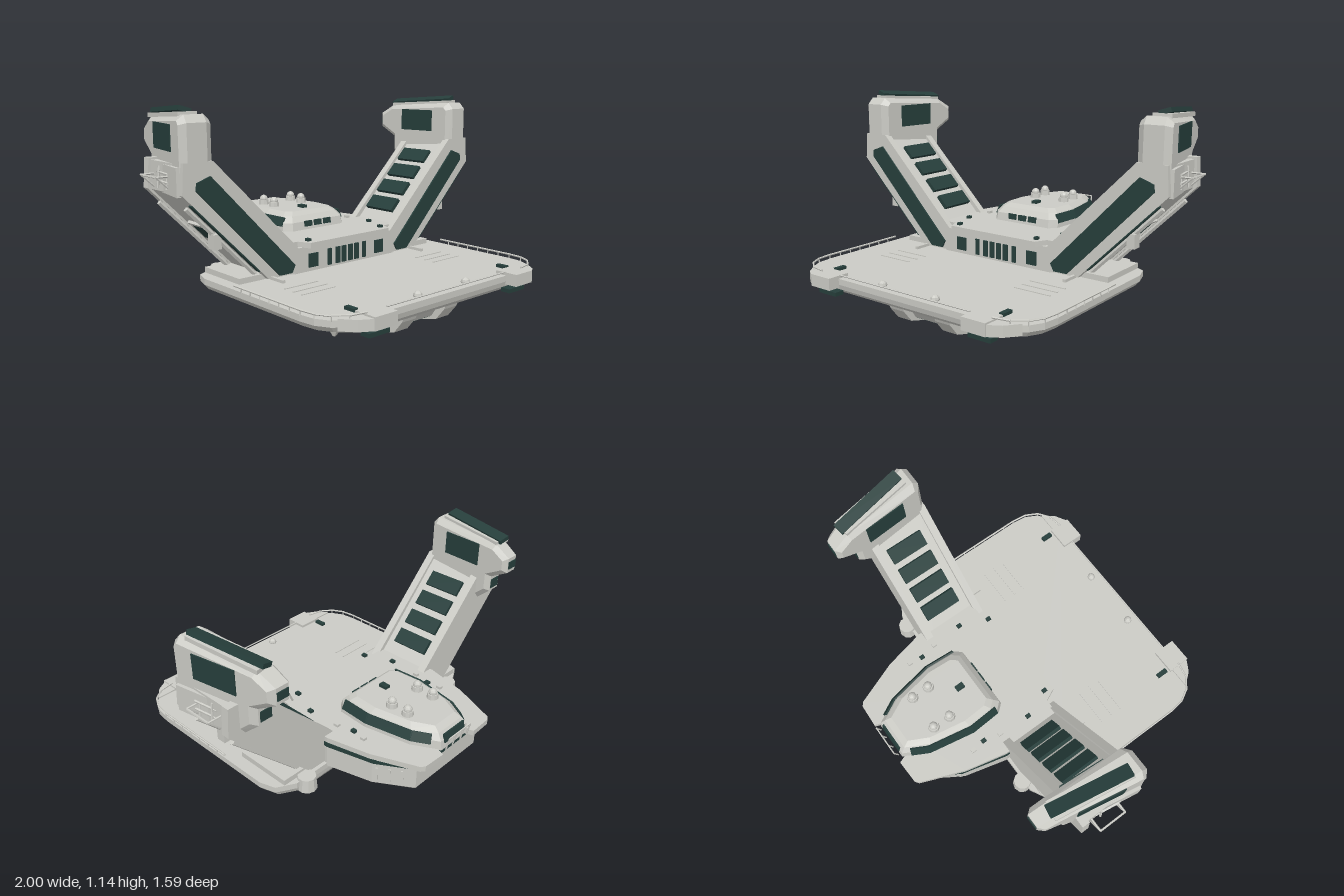
import * as THREE from 'three';

const mat = (name, color) => {
  const m = new THREE.MeshStandardMaterial({ color });
  m.name = name;
  return m;
};

export function createModel() {
  const root = new THREE.Group();
  const light = mat('pale hull grey', 0xcbcbc5);
  const dark = mat('dark teal panel', 0x263e3b);

  // ---- helpers ----
  const flat = (g) => {
    const f = g.index ? g.toNonIndexed() : g;
    f.computeVertexNormals();
    return f;
  };
  const add = (name, g, m) => {
    const mesh = new THREE.Mesh(flat(g), m);
    mesh.name = name;
    root.add(mesh);
  };
  // adds a part on +x and its mirror image on -x, with corner order repaired
  const pair = (name, g, m) => {
    const a = flat(g), b = a.clone().scale(-1, 1, 1), p = b.attributes.position;
    const u = new THREE.Vector3(), v = new THREE.Vector3();
    for (let i = 0; i < p.count; i += 3) {
      u.fromBufferAttribute(p, i + 1);
      v.fromBufferAttribute(p, i + 2);
      p.setXYZ(i + 1, v.x, v.y, v.z);
      p.setXYZ(i + 2, u.x, u.y, u.z);
    }
    add(name + 'Left', a, m);
    add(name + 'Right', b, m);
  };
  const place = (g, x, y, z, rx = 0, ry = 0, rz = 0) =>
    g.rotateZ(rz).rotateX(rx).rotateY(ry).translate(x, y, z);
  const box = (w, h, d, ...at) => place(new THREE.BoxGeometry(w, h, d), ...at);
  const rod = (a, b, r = 0.004) => {
    const A = new THREE.Vector3(...a), B = new THREE.Vector3(...b), d = B.clone().sub(A);
    const g = new THREE.CylinderGeometry(r, r, d.length(), 5);
    g.applyQuaternion(new THREE.Quaternion().setFromUnitVectors(new THREE.Vector3(0, 1, 0), d.normalize()));
    return g.translate((A.x + B.x) / 2, (A.y + B.y) / 2, (A.z + B.z) / 2);
  };
  const mirror = (half) => [...half, ...half.map(([x, z]) => [-x, z]).reverse()];
  // stacks a convex plan outline at levels [y, scaleX, scaleZ, shiftZ]
  const loft = (outline, levels) => {
    const rings = levels.map(([y, sx = 1, sz = 1, dz = 0]) => outline.map(([x, z]) => [x * sx, y, z * sz + dz]));
    const n = outline.length, v = [];
    for (let k = 0; k + 1 < rings.length; k++)
      for (let i = 0; i < n; i++) {
        const j = (i + 1) % n, a = rings[k], b = rings[k + 1];
        v.push(...a[i], ...a[j], ...b[j], ...a[i], ...b[j], ...b[i]);
      }
    const lo = rings[0], hi = rings[rings.length - 1];
    for (let i = 1; i < n - 1; i++) v.push(...hi[0], ...hi[i], ...hi[i + 1], ...lo[0], ...lo[i + 1], ...lo[i]);
    const g = new THREE.BufferGeometry();
    g.setAttribute('position', new THREE.Float32BufferAttribute(v, 3));
    return g;
  };
  const shape = (pts) => new THREE.Shape(pts.map(([x, y]) => new THREE.Vector2(x, y)));
  const extrude = (pts, depth, z) =>
    new THREE.ExtrudeGeometry(shape(pts), { depth, bevelEnabled: false }).translate(0, 0, z);
  // plan outline [x, z] raised from y0 to y1
  const slab = (outline, y0, y1) =>
    extrude(outline.map(([x, z]) => [x, -z]), y1 - y0, 0).rotateX(-Math.PI / 2).translate(0, y0, 0);
  // side profile [z, y] spanning x0 to x1
  const sideSlab = (pts, x0, x1) =>
    extrude(pts.map(([z, y]) => [-z, y]), x1 - x0, 0).rotateY(Math.PI / 2).translate(x0, 0, 0);

  // ---- landing deck ----
  const edge = [[0.53, 0.735], [0.61, 0.72], [0.67, 0.675], [0.705, 0.61], [0.715, 0.53], [0.715, -0.2], [0.69, -0.28], [0.6, -0.33]];
  const deck = mirror(edge);
  add('deck', loft(deck, [[0.215, 0.84, 0.92], [0.245, 0.86, 0.97], [0.25, 0.97, 0.99], [0.275], [0.305]]), light);
  pair('deckTab', box(0.13, 0.06, 0.12, 0.475, 0.29, 0.735), light);
  pair('tabCorner', slab([[0.54, 0.79], [0.6, 0.755], [0.65, 0.69], [0.54, 0.69]], 0.26, 0.312), light);
  pair('tabFender', box(0.12, 0.02, 0.05, 0.475, 0.228, 0.73), dark);
  for (let i = 0; i < 5; i++) {
    const [ax, az] = edge[i], [bx, bz] = edge[i + 1];
    const side = i === 4;
    pair('deckRail', rod([ax, 0.325, az], [bx, 0.325, side ? 0.05 : bz], 0.005), light);
    for (let k = 0; k < (side ? 7 : 1); k++)
      pair('railPost', rod([ax, 0.3, az - k * 0.07], [ax, 0.325, az - k * 0.07], 0.003), light);
  }
  add('frontRail', rod([-0.41, 0.322, 0.728], [0.41, 0.322, 0.728]), light);
  for (const z of [0.2, 0.265, 0.325]) pair('deckMarking', box(0.2, 0.006, 0.008, 0.44, 0.306, z), light);
  pair('deckLamp', place(new THREE.SphereGeometry(0.022, 8, 6), 0.165, 0.31, 0.68), light);
  pair('deckVent', box(0.025, 0.02, 0.06, 0.52, 0.31, 0.63), dark);
  pair('deckCleat', box(0.015, 0.02, 0.1, 0.48, 0.31, 0.07), light);
  pair('sternDrum', place(new THREE.CylinderGeometry(0.045, 0.05, 0.07, 10), 0.54, 0.285, -0.335), light);
  pair('deckUnderPanel', box(0.05, 0.006, 0.34, 0.56, 0.213, 0.12), dark);
  pair('sternUnderPanel', box(0.16, 0.006, 0.09, 0.43, 0.213, -0.2), dark);

  // ---- main hull and its roof ----
  const hull = mirror([[0.34, 0.03], [0.4, -0.03], [0.4, -0.33], [0.34, -0.56], [0.23, -0.735]]);
  add('hull', loft(hull, [[0.275, 0.96, 0.985], [0.29], [0.432]]), light);
  add('hullBand', loft(mirror([[0.404, -0.28], [0.404, -0.335], [0.345, -0.57], [0.235, -0.75]]), [[0.408], [0.431]]), dark);
  add('roof', slab(mirror([[0.27, 0.065], [0.3, 0], [0.4, 0], [0.4, -0.33], [0.35, -0.55], [0.26, -0.775],
    [0.24, -0.79], [0.12, -0.795], [0.1, -0.74]]), 0.43, 0.458), light);
  for (const [x, w, h] of [[0.022, 0.028, 0.085], [0.065, 0.028, 0.085], [0.12, 0.022, 0.085], [0.228, 0.06, 0.07]])
    pair('frontWindow', box(w, h, 0.008, x, 0.36, 0.033), dark);
  for (const z of [-0.58, -0.63, -0.68])
    pair('hullRib', box(0.012, 0.07, 0.012, 0.34 + (z + 0.56) * 0.63, 0.345, z, 0, 0.56), light);
  for (const [x, z, m] of [[0.25, 0.02, dark], [0.31, -0.13, dark], [0.3, -0.3, light], [0.29, -0.46, light], [0.28, -0.39, dark]])
    pair('roofFitting', box(0.02, 0.014, 0.025, x, 0.464, z), m);

  // ---- cabin on the roof ----
  const cabin = mirror([[0.17, -0.2], [0.205, -0.24], [0.215, -0.4], [0.17, -0.64], [0.1, -0.77]]);
  add('cabin', loft(cabin, [[0.455], [0.5, 0.98, 0.97, -0.015], [0.53, 0.87, 0.88, -0.06], [0.55, 0.74, 0.78, -0.105]]), light);
  for (const [i, j, reach] of [[1, 2, 1], [2, 3, 1], [3, 4, 0.65]]) {
    const [ax, az] = cabin[i];
    const bx = ax + (cabin[j][0] - ax) * reach, bz = az + (cabin[j][1] - az) * reach;
    const len = Math.hypot(bx - ax, bz - az);
    pair('cabinWindow', box(0.009, 0.05, len, (ax + bx) / 2 * 0.96, 0.505, (az + bz) / 2 * 0.97 - 0.018,
      0, Math.atan2(ax - bx, az - bz), 0.45), dark);
  }
  for (const x of [-0.065, 0, 0.065]) add('cabinFrontSlit', box(0.05, 0.03, 0.008, x, 0.488, -0.204, -0.1), dark);
  add('cabinRearWindow', box(0.15, 0.045, 0.009, 0, 0.505, -0.762, 0.2), dark);
  for (const z of [-0.56, -0.465]) {
    pair('domeBase', place(new THREE.CylinderGeometry(0.027, 0.03, 0.03, 10), 0.095, 0.56, z), light);
    pair('dome', place(new THREE.SphereGeometry(0.022, 10, 8), 0.095, 0.58, z), light);
  }
  add('roofHatch', box(0.03, 0.02, 0.045, 0, 0.555, -0.335), dark);
  add('sternRail', rod([-0.08, 0.525, -0.795], [0.08, 0.525, -0.795]), light);
  for (const x of [0.03, 0.08]) pair('sternRailPost', rod([x, 0.455, -0.78], [x, 0.525, -0.795]), light);

  // ---- sloping arms ----
  const arm = [[0.3, 0.415], [0.3, 0.31], [0.5, 0.31], [0.95, 0.76], [0.94, 0.9], [0.79, 0.9], [0.75, 0.86]];
  pair('armCore', extrude([[0.32, 0.4], [0.32, 0.31], [0.485, 0.31], [0.93, 0.755], [0.93, 0.89], [0.8, 0.89]], 0.3, -0.29), light);
  pair('armFrontFrame', extrude(arm, 0.04, -0.01), light);
  pair('armRearFrame', extrude(arm, 0.04, -0.315), light);
  pair('armFrontPanel', extrude([[0.345, 0.355], [0.365, 0.318], [0.44, 0.318], [0.885, 0.775], [0.88, 0.81], [0.81, 0.835]],
    0.009, 0.03), dark);
  const q = Math.PI / 4;
  for (const x of [0.45, 0.535, 0.62, 0.705]) pair('armSolarPanel', box(0.083, 0.035, 0.2, x, x + 0.088, -0.155, 0, 0, q), dark);
  pair('armEdgeStrip', box(0.5, 0.008, 0.025, 0.727, 0.533, 0.016, 0, 0, q), dark);
  pair('armHatch', box(0.11, 0.008, 0.125, 0.725, 0.543, -0.16, 0, 0, q), dark);
  pair('armHatchHood', box(0.015, 0.015, 0.14, 0.77, 0.585, -0.16, 0, 0, q), light);
  for (const z of [-0.03, -0.27]) pair('armPipe', rod([0.53, 0.32, z], [0.9, 0.69, z], 0.012), light);
  pair('armBracket', sideSlab([[0.0, 0.56], [0.0, 0.49], [-0.05, 0.49], [-0.05, 0.56]], 0.74, 0.78), light);
  pair('armFoot', box(0.3, 0.03, 0.3, 0.5, 0.318, -0.15), light);

  // ---- pods at the arm tips, narrowing and leaning inward to the rear ----
  const podSide = [[0.03, 0.73], [0.03, 1.07], [0, 1.105], [-0.4, 1.08], [-0.487, 1.03], [-0.487, 0.95],
    [-0.39, 0.895], [-0.39, 0.81], [-0.3, 0.73]];
  const pod = new THREE.ExtrudeGeometry(shape(podSide.map(([z, y]) => [-z, y])),
    { depth: 0.6, bevelThickness: 0.2, bevelSize: 0.025, bevelOffset: -0.025, bevelSegments: 1 })
    .rotateY(Math.PI / 2).translate(0.2, 0, 0);
  const pp = pod.attributes.position;
  for (let i = 0; i < pp.count; i++) {
    const f = (0.03 - pp.getZ(i)) / 0.517;
    const inner = 0.785 - 0.04 * f, outer = 0.95 - 0.095 * f;
    pp.setX(i, inner + (outer - inner) * pp.getX(i));
  }
  pair('pod', pod, light);
  pair('podSkirt', box(0.05, 0.13, 0.27, 0.912, 0.815, -0.125, 0, 0.18), light);
  pair('podOuterWindow', box(0.009, 0.12, 0.225, 0.909, 1.0, -0.2, 0, 0.18), dark);
  pair('podInnerWindow', box(0.009, 0.12, 0.22, 0.766, 1.0, -0.2, 0, 0.08), dark);
  pair('podRearUpperLight', box(0.06, 0.04, 0.008, 0.8, 0.99, -0.488), dark);
  pair('podRearLowerLight', box(0.06, 0.05, 0.008, 0.81, 0.85, -0.391), dark);
  pair('podTopBase', box(0.09, 0.02, 0.38, 0.845, 1.095, -0.22, -0.06, 0.15), light);
  pair('podTopPanel', box(0.058, 0.022, 0.39, 0.847, 1.112, -0.23, -0.07, 0.18, 0.3), dark);
  for (const y of [0.8, 0.84]) pair('podPipe', rod([0.945, y, -0.1], [0.92, y, -0.26], 0.006), light);
  for (const z of [-0.12, -0.2]) pair('podPost', rod([0.94, 0.77, z], [0.93, 0.87, z], 0.006), light);
  pair('handrail', rod([0.995, 0.83, -0.25], [0.995, 0.83, -0.11], 0.005), light);
  for (const z of [-0.25, -0.11]) {
    pair('handrailArm', rod([0.9, 0.83, z], [0.995, 0.83, z], 0.005), light);
    pair('handrailBrace', rod([0.93, 0.77, z], [0.995, 0.83, z], 0.005), light);
  }

  // ---- underside ----
  add('keel', sideSlab([[0.6, 0.22], [0.53, 0.12], [0.0, 0.12], [-0.18, 0.13], [-0.28, 0.28], [0, 0.28]], -0.17, 0.17), light);
  const skid = [[0.63, 0.22], [0.61, 0.17], [0.56, 0.11], [0.46, 0.085], [0, 0.085], [-0.04, 0.13], [-0.04, 0.22]];
  pair('skid', sideSlab(skid, 0.1, 0.19), light);
  pair('skidSlot', box(0.008, 0.014, 0.2, 0.192, 0.16, 0.06), dark);
  add('keelPanel', box(0.2, 0.008, 0.5, 0, 0.118, 0.27), dark);
  for (const z of [0.08, 0.25, 0.42]) add('keelCrossbar', box(0.36, 0.03, 0.03, 0, 0.105, z), light);
  pair('sidePod', sideSlab([[0.55, 0.225], [0.5, 0.18], [0.05, 0.18], [-0.15, 0.225]], 0.29, 0.36), light);
  pair('underGutter', box(0.1, 0.008, 0.6, 0.24, 0.213, 0.27), dark);
  pair('fin', loft([[0.035, 0.09], [0.035, -0.09], [-0.035, -0.09], [-0.035, 0.09]],
    [[0.1, 0.1, 0.08, -0.01], [0.225]]).translate(0.405, 0, 0.4), light);
  add('gondola', loft(mirror([[0.17, -0.035], [0.17, -0.18]]), [[0.045, 0.9, 0.9, -0.01], [0.07], [0.22]]), light);
  add('gondolaWindow', box(0.2, 0.03, 0.008, 0, 0.16, -0.032), dark);
  add('sternUnderStrip', box(0.6, 0.008, 0.05, 0, 0.272, -0.36), dark);
  for (const z of [-0.06, -0.105]) pair('ladderRail', rod([0.16, 0.07, z], [0.2, 0.004, z]), light);
  for (const t of [0.1, 0.6])
    pair('ladderRung', rod([0.2 - t * 0.04, 0.004 + t * 0.066, -0.06], [0.2 - t * 0.04, 0.004 + t * 0.066, -0.105]), light);

  return root;
}
